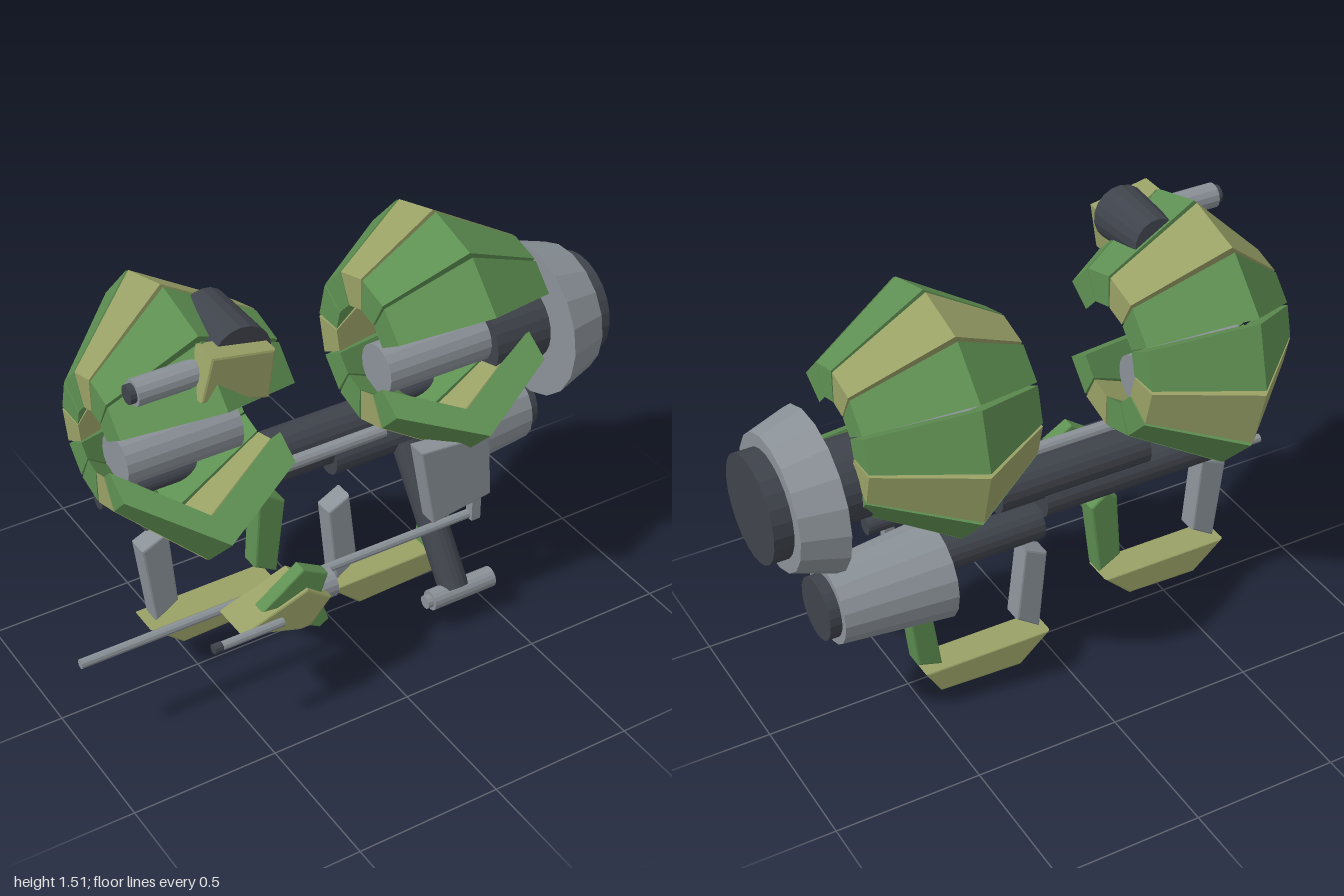
import * as THREE from 'three';

const mat = (name, color) => {
  const m = new THREE.MeshStandardMaterial({ color });
  m.name = name;
  return m;
};

export function createModel() {
  const green = mat('green armour', 0x5e8f52);
  const khaki = mat('khaki armour', 0x99a166);
  const gray = mat('gray metal', 0x8a9197);
  const dark = mat('dark metal', 0x3f434b);
  const model = new THREE.Group();

  // Faceted mesh added to a parent
  const add = (name, geometry, material, parent = model) => {
    const g = geometry.index ? geometry.toNonIndexed() : geometry;
    g.computeVertexNormals();
    const mesh = new THREE.Mesh(g, material);
    mesh.name = name;
    parent.add(mesh);
    return mesh;
  };

  // Round bar between two points, radius ra at a and rb at b
  const bar = (name, a, b, ra, rb, material, sides = 18) => {
    const A = new THREE.Vector3(...a), B = new THREE.Vector3(...b);
    const dir = B.clone().sub(A);
    const geo = new THREE.CylinderGeometry(rb, ra, dir.length(), sides);
    const mesh = add(name, geo, material);
    mesh.position.copy(A).add(B).multiplyScalar(0.5);
    mesh.quaternion.setFromUnitVectors(new THREE.Vector3(0, 1, 0), dir.normalize());
    return mesh;
  };
  const barX = (name, x0, x1, y, z, r0, r1, material, sides) =>
    bar(name, [x0, y, z], [x1, y, z], r0, r1, material, sides);

  // Bevelled plate: outline in x/y, spanning z0 to z1
  const plate = (name, points, z0, z1, material, bevel = 0.008) => {
    const shape = new THREE.Shape(points.map(p => new THREE.Vector2(...p)));
    const geo = new THREE.ExtrudeGeometry(shape, {
      depth: z1 - z0 - 2 * bevel, bevelEnabled: true, bevelThickness: bevel,
      bevelSize: bevel, bevelOffset: -bevel, bevelSegments: 2,
    });
    geo.translate(0, 0, z0 + bevel);
    return add(name, geo, material);
  };

  // One thick armour segment swept between two angles around the x axis,
  // slightly flattened front to back
  const segment = (profile, a0, a1) => {
    const n = profile.length, pos = [], idx = [];
    for (const a of [a0, a1])
      for (const [x, r] of profile) pos.push(x, r * Math.sin(a), 0.956 * r * Math.cos(a));
    for (let i = 0; i < n; i++) {
      const j = (i + 1) % n;
      idx.push(i, j, n + j, i, n + j, n + i);
    }
    // end caps, split at the ridge (points 1 and 4)
    for (const [p, q, r, s] of [[0, 1, 4, 5], [1, 2, 3, 4]]) {
      idx.push(p, r, q, p, s, r);
      idx.push(n + p, n + q, n + r, n + p, n + r, n + s);
    }
    const g = new THREE.BufferGeometry();
    g.setAttribute('position', new THREE.Float32BufferAttribute(pos, 3));
    g.setIndex(idx);
    return g;
  };

  // Two drum shells, each ten segments with an opening at the front.
  // outer lists x and radius at the right rim, the ridge and the left rim.
  const shell = (name, x, outer) => {
    const group = new THREE.Group();
    group.name = name;
    group.position.set(x, 1.046, 0.03);
    const inner = outer.map(([px, r], i) => [px, r - (i === 1 ? 0.095 : 0.11)]).reverse();
    const profile = [...outer, ...inner];
    const step = Math.PI / 6, gap = 0.02;
    for (let i = 0; i < 10; i++) {
      const a = (i + 1) * step;
      add('armourSegment', segment(profile, a + gap, a + step - gap), i % 3 === 2 ? khaki : green, group);
    }
    model.add(group);
  };
  shell('rightShell', -0.58, [[-0.25, 0.22], [0, 0.464], [0.31, 0.28]]);
  shell('leftShell', 0.375, [[-0.265, 0.26], [0, 0.425], [0.315, 0.24]]);

  // Cores and the large side thruster
  barX('rightCore', -0.75, -0.35, 0.93, 0, 0.087, 0.087, gray);
  barX('leftCore', 0.19, 0.6, 0.93, 0, 0.087, 0.087, gray);
  barX('thrusterNeck', 0.58, 0.8, 0.917, -0.01, 0.135, 0.135, dark, 24);
  barX('thrusterRing', 0.79, 0.935, 0.917, -0.01, 0.27, 0.224, gray, 18);
  barX('thrusterCap', 0.93, 1.0, 0.917, -0.01, 0.178, 0.178, dark, 24);

  // Small lower thruster
  barX('lowerThruster', 0.43, 0.805, 0.528, -0.092, 0.167, 0.131, gray, 18);
  barX('lowerThrusterCap', 0.79, 0.845, 0.528, -0.092, 0.105, 0.105, dark, 24);
  barX('lowerThrusterShaft', 0.06, 0.45, 0.577, -0.09, 0.062, 0.062, dark);

  // Frame tubes between the drums
  barX('upperTube', -0.35, 0.2, 0.715, -0.055, 0.07, 0.07, dark);
  barX('longTube', -0.79, 0.65, 0.755, -0.06, 0.03, 0.03, dark);
  barX('lowerTube', -0.64, 0.04, 0.64, -0.07, 0.06, 0.06, dark);
  barX('frameRod', -0.3, 0.18, 0.732, 0.06, 0.024, 0.024, gray, 12);
  bar('framePost', [-0.41, 0.56, 0.02], [-0.41, 0.7, 0.02], 0.035, 0.035, dark, 12);

  // Front shield plate with its hanger and the long rod
  plate('shieldPlate', [[0.24, 0.465], [0.465, 0.5], [0.45, 0.745], [0.185, 0.765]], 0.205, 0.275, gray, 0.006);
  const hanger = add('rodHanger', new THREE.BoxGeometry(0.035, 0.38, 0.034), gray);
  hanger.position.set(0.46, 0.54, 0.19);
  barX('longRod', -1, 0.475, 0.365, 0.182, 0.016, 0.016, gray, 10);

  // Slanted lower arm with a crossbar
  bar('slantedArm', [0.345, 0.56, -0.05], [0.345, 0.14, 0.256], 0.052, 0.052, dark);
  barX('armCrossbar', 0.245, 0.49, 0.132, 0.262, 0.036, 0.036, gray, 16);
  barX('armCrossbarTip', 0.225, 0.25, 0.132, 0.262, 0.024, 0.024, gray, 12);

  // Legs: a gray strut, a green strut and a khaki foot on each side
  const legs = [
    ['right', [[-0.64, 0.242], [-0.555, 0.295], [-0.58, 0.582], [-0.677, 0.54]],
      [[-0.27, 0.305], [-0.188, 0.258], [-0.152, 0.535], [-0.215, 0.582], [-0.252, 0.55]],
      [[-0.555, 0.13], [-0.298, 0.138], [-0.2, 0.232], [-0.67, 0.23]]],
    ['left', [[0.043, 0.118], [0.128, 0.178], [0.095, 0.46], [0.013, 0.418]],
      [[0.408, 0.108], [0.496, 0.135], [0.528, 0.402], [0.445, 0.378]],
      [[0.126, 0], [0.424, 0.012], [0.48, 0.105], [0.013, 0.102]]],
  ];
  for (const [side, inner, outer, foot] of legs) {
    plate(side + 'GrayStrut', inner, -0.08, -0.005, gray);
    plate(side + 'GreenStrut', outer, -0.08, -0.005, green);
    plate(side + 'Foot', foot, -0.1, 0.015, khaki);
  }

  // Small pod on the long rod
  plate('podBody', [[-0.54, 0.415], [-0.33, 0.345], [-0.29, 0.345], [-0.213, 0.43], [-0.3, 0.497]], 0.235, 0.38, khaki);
  plate('podTopFin', [[-0.46, 0.465], [-0.31, 0.572], [-0.22, 0.52], [-0.25, 0.44]], 0.32, 0.37, green, 0.006);
  plate('podBottomFin', [[-0.35, 0.37], [-0.25, 0.31], [-0.215, 0.33], [-0.24, 0.41]], 0.325, 0.365, green, 0.006);
  barX('podNozzle', -0.3, -0.17, 0.422, 0.305, 0.048, 0.048, gray, 16);
  barX('podBarrel', -0.63, -0.4, 0.42, 0.393, 0.015, 0.015, gray, 10);
  barX('podBarrelTip', -0.65, -0.62, 0.42, 0.393, 0.017, 0.017, dark, 10);

  // Top turret
  bar('turretDrum', [-0.455, 1.391, 0.045], [-0.465, 1.376, 0.29], 0.08, 0.096, dark);
  plate('turretBlock', [[-0.635, 1.3], [-0.41, 1.24], [-0.385, 1.4], [-0.595, 1.44]], 0.25, 0.35, khaki);
  barX('turretBarrel', -0.81, -0.58, 1.355, 0.27, 0.042, 0.042, gray, 14);
  barX('turretBarrelTip', -0.83, -0.8, 1.355, 0.27, 0.03, 0.03, dark, 14);

  return model;
}
